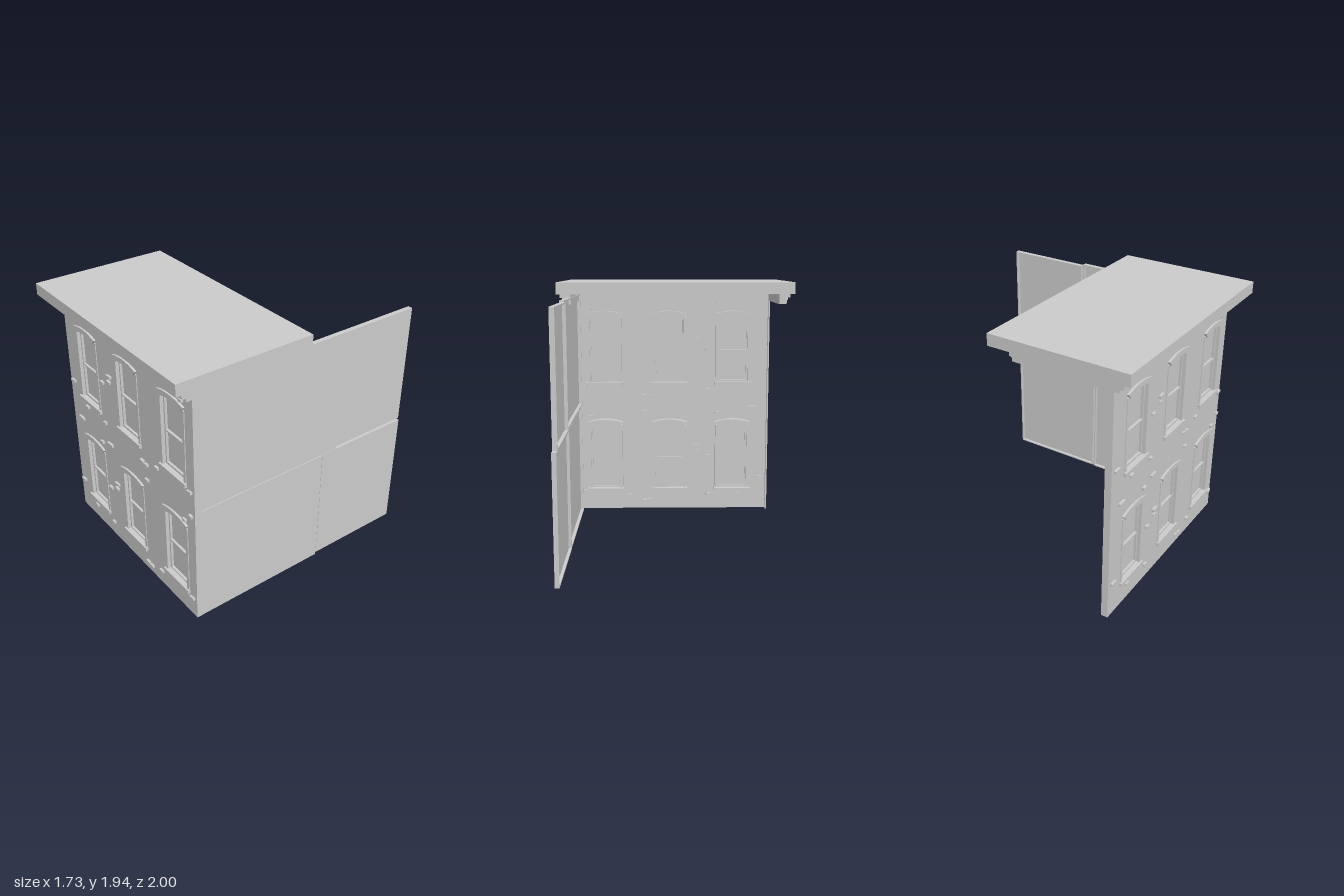
import * as THREE from 'three';

const mat = new THREE.MeshStandardMaterial({ color: 0xcccccc, side: THREE.DoubleSide });
const FLOOR = 0.905;

function add(parent, name, geometry) {
  const m = new THREE.Mesh(geometry, mat);
  m.name = name;
  parent.add(m);
  return m;
}

// box given by its limits
function box(parent, name, x0, x1, y0, y1, z0, z1) {
  const m = add(parent, name, new THREE.BoxGeometry(x1 - x0, y1 - y0, z1 - z0));
  m.position.set((x0 + x1) / 2, (y0 + y1) / 2, (z0 + z1) / 2);
  return m;
}

function extrude(shape, z0, z1) {
  const g = new THREE.ExtrudeGeometry(shape, { depth: z1 - z0, bevelEnabled: false, curveSegments: 8 });
  return g.translate(0, 0, z0);
}

// upright opening with a shallow arched head
function arch(Type, cx, half, y0, spring, rise) {
  const s = new Type();
  s.moveTo(cx - half, y0);
  s.lineTo(cx + half, y0);
  s.lineTo(cx + half, spring);
  s.quadraticCurveTo(cx, spring + 2 * rise, cx - half, spring);
  s.closePath();
  return s;
}

function makeWindow() {
  const g = new THREE.Group();
  g.name = 'window';
  // casing round the opening
  const casing = arch(THREE.Shape, 0, 0.143, 0.19, 0.73, 0.03);
  casing.holes.push(arch(THREE.Path, 0, 0.12, 0.195, 0.715, 0.028));
  add(g, 'casing', extrude(casing, 0.78, 0.856));
  // flared arched hood
  const hood = new THREE.Shape();
  hood.moveTo(-0.12, 0.722);
  hood.quadraticCurveTo(0, 0.772, 0.12, 0.722);
  hood.lineTo(0.148, 0.758);
  hood.quadraticCurveTo(0, 0.806, -0.148, 0.758);
  hood.closePath();
  add(g, 'hood', extrude(hood, 0.78, 0.866));
  // sash frame, meeting rail and pane
  const sash = arch(THREE.Shape, 0, 0.12, 0.195, 0.715, 0.028);
  sash.holes.push(arch(THREE.Path, 0, 0.108, 0.21, 0.703, 0.026));
  add(g, 'sash', extrude(sash, 0.795, 0.83));
  box(g, 'meetingRail', -0.11, 0.11, 0.449, 0.461, 0.795, 0.83);
  add(g, 'pane', extrude(arch(THREE.Shape, 0, 0.119, 0.196, 0.714, 0.027), 0.804, 0.812));
  box(g, 'sill', -0.15, 0.15, 0.168, 0.196, 0.75, 0.87);
  return g;
}

// one storey of the street front: three bays, windows and loose bricks
function makeStorey() {
  const g = new THREE.Group();
  g.name = 'storey';
  const edges = [-0.79, -0.26, 0.272, 0.806];
  const centres = [-0.49, 0.04, 0.577];
  centres.forEach((cx, i) => {
    const s = new THREE.Shape();
    s.moveTo(edges[i], 0);
    s.lineTo(edges[i + 1], 0);
    s.lineTo(edges[i + 1], FLOOR);
    s.lineTo(edges[i], FLOOR);
    s.closePath();
    s.holes.push(arch(THREE.Path, cx, 0.138, 0.18, 0.72, 0.03));
    add(g, 'frontBay', extrude(s, 0.836, 0.85));
    const w = makeWindow();
    w.position.x = cx;
    g.add(w);
  });
  box(g, 'leftReturn', -0.79, -0.778, 0, FLOOR, 0.8, 0.84);
  box(g, 'rightReturn', 0.794, 0.806, 0, FLOOR, 0.8, 0.84);

  // x, y, width, tilt
  const bricks = [
    [-0.66, 0.885, 0.07, 0], [-0.36, 0.83, 0.04, 0.1], [-0.24, 0.87, 0.07, 0], [0.245, 0.845, 0.04, 0],
    [0.77, 0.872, 0.035, -0.1], [0.695, 0.798, 0.035, 0.1], [-0.185, 0.55, 0.055, 0.08], [-0.19, 0.505, 0.04, -0.1],
    [-0.285, 0.46, 0.04, 0], [-0.735, 0.27, 0.055, 0.05], [-0.545, 0.13, 0.04, 0], [-0.29, 0.125, 0.035, 0],
    [0.38, 0.12, 0.04, 0], [0.76, 0.155, 0.05, 0.15], [0.2, 0.075, 0.04, -0.1], [0.25, 0.07, 0.035, 0],
  ];
  for (const [x, y, w, tilt] of bricks) {
    const b = add(g, 'brick', new THREE.BoxGeometry(w, 0.019, 0.05));
    b.position.set(x, y, 0.843);
    b.rotation.z = tilt;
  }
  return g;
}

// side wall panel: outer plate with a rim turned inward
function sidePanel(parent, y0, y1, z0, z1, xIn, xOut) {
  const g = new THREE.Group();
  g.name = 'sideWallPanel';
  const t = 0.01;
  box(g, 'plate', xOut - t, xOut, y0, y1, z0, z1);
  box(g, 'bottomRim', xIn, xOut - t, y0, y0 + t, z0, z1);
  box(g, 'topRim', xIn, xOut - t, y1 - t, y1, z0, z1);
  box(g, 'backRim', xIn, xOut - t, y0 + t, y1 - t, z0, z0 + t);
  box(g, 'frontRim', xIn, xOut - t, y0 + t, y1 - t, z1 - t, z1);
  parent.add(g);
}

// U-shaped cornice course along the front and both sides
function corniceCourse(parent, x, z, y0, y1) {
  const back = 0.14, inX = 0.775, inZ = 0.8;
  const s = new THREE.Shape();
  [[-x, back], [-inX, back], [-inX, inZ], [inX, inZ], [inX, back], [x, back], [x, z], [-x, z]]
    .forEach(([px, pz], i) => (i ? s.lineTo(px, -pz) : s.moveTo(px, -pz)));
  s.closePath();
  const geo = extrude(s, 0, y1 - y0).rotateX(-Math.PI / 2);
  add(parent, 'corniceCourse', geo).position.y = y0;
}

export function createModel() {
  const model = new THREE.Group();
  model.name = 'buildingFront';

  for (let i = 0; i < 2; i++) {
    const storey = makeStorey();
    storey.position.y = i * FLOOR;
    model.add(storey);
  }

  const side = new THREE.Group();
  side.name = 'sideWall';
  sidePanel(side, 0, 0.905, -0.232, 0.8, 0.77, 0.805);
  sidePanel(side, 0.008, 0.902, -1, -0.242, 0.765, 0.797);
  sidePanel(side, 0.91, 1.822, -0.36, 0.8, 0.768, 0.803);
  sidePanel(side, 0.917, 1.812, -1, -0.373, 0.755, 0.79);
  model.add(side);

  const cornice = new THREE.Group();
  cornice.name = 'cornice';
  corniceCourse(cornice, 0.83, 0.908, 1.772, 1.803);
  corniceCourse(cornice, 0.84, 0.935, 1.803, 1.82);
  corniceCourse(cornice, 0.858, 0.955, 1.82, 1.855);
  model.add(cornice);

  box(model, 'roof', -0.868, 0.865, 1.852, 1.937, -0.02, 1);
  return model;
}
